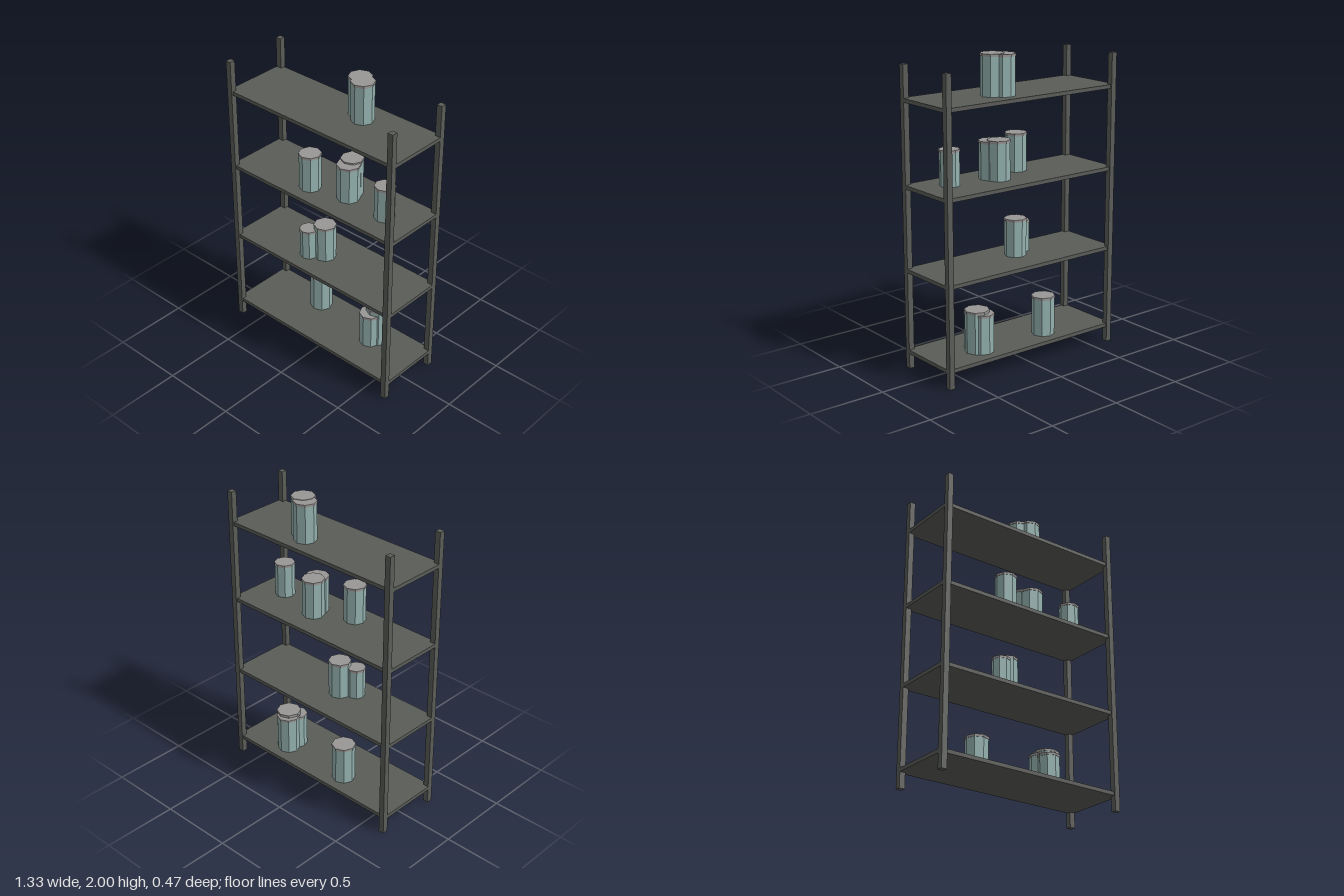
import * as THREE from 'three';

const material = (name, color) => {
  const m = new THREE.MeshStandardMaterial({ color });
  m.name = name;
  m.flatShading = true;
  return m;
};

export function createModel() {
  const frame = material('dark grey metal', 0x5a5c58);
  const body = material('pale teal', 0x94b2af);
  const lidGrey = material('lid grey', 0x999796);
  const model = new THREE.Group();
  model.name = 'shelfWithJars';

  const add = (parent, name, geometry, mat, x, y, z) => {
    const mesh = new THREE.Mesh(geometry, mat);
    mesh.name = name;
    mesh.position.set(x, y, z);
    parent.add(mesh);
  };

  // Four corner posts
  const postHeight = 1.944;
  const post = new THREE.BoxGeometry(0.038, postHeight, 0.038);
  for (const sx of [-1, 1]) {
    for (const sz of [-1, 1]) {
      const name = (sz > 0 ? 'front' : 'back') + (sx > 0 ? 'Left' : 'Right') + 'Post';
      add(model, name, post, frame, sx * 0.646, postHeight / 2, sz * 0.218);
    }
  }

  // Shelf boards, evenly spaced; tops listed from the bottom up
  const thickness = 0.025;
  const shelfTops = [0, 1, 2, 3].map((i) => 0.125 + i * 0.538);
  const board = new THREE.BoxGeometry(1.33, thickness, 0.454);
  shelfTops.forEach((top) => add(model, 'shelf', board, frame, 0, top - thickness / 2, 0));

  // Octagonal jars on each shelf: [x, z, radius, top height]
  const jars = [
    [[-0.19, -0.095, 0.078, 0.388], [0.333, -0.072, 0.081, 0.403],
      [0.31, -0.1, 0.076, 0.382], [0.312, -0.022, 0.073, 0.363]],
    [[-0.136, 0.078, 0.061, 0.87], [-0.048, 0.018, 0.074, 0.911]],
    [[-0.108, 0.088, 0.073, 1.45], [0.128, -0.038, 0.074, 1.456],
      [0.15, 0.02, 0.077, 1.446], [0.453, 0.035, 0.067, 1.43]],
    [[0.134, -0.096, 0.075, 1.997], [0.191, -0.054, 0.076, 2.0]],
  ];
  const lidHeight = 0.016;
  jars.forEach((row, i) => row.forEach(([x, z, r, top]) => {
    const jar = new THREE.Group();
    jar.name = 'jar';
    jar.position.set(x, shelfTops[i], z);
    const h = top - shelfTops[i] - lidHeight;
    add(jar, 'jarBody', new THREE.CylinderGeometry(r * 0.96, r * 0.96, h, 8), body, 0, h / 2, 0);
    add(jar, 'jarLid', new THREE.CylinderGeometry(r, r, lidHeight, 8), lidGrey, 0, h + lidHeight / 2, 0);
    model.add(jar);
  }));

  return model;
}
